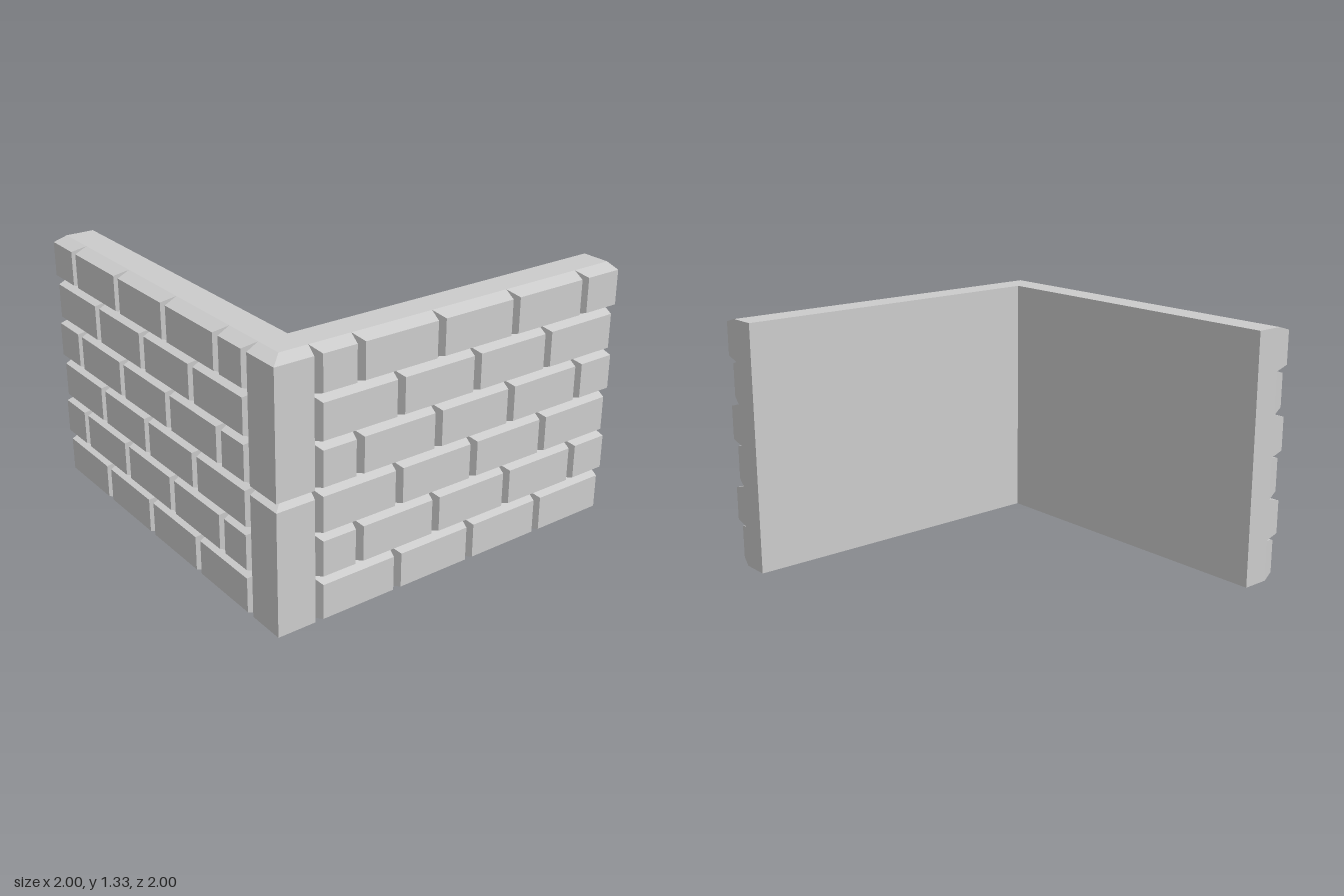
import * as THREE from 'three';
import { ConvexGeometry } from 'three/addons/geometries/ConvexGeometry.js';

const U = 2 / 9;          // brick course height and wall thickness
const H = 6 * U;          // wall height
const BEVEL = U / 10;     // how far a brick face is inset from its joint
const FACE = 1;           // outer brick face
const BASE = 1 - U / 3;   // bottom of the joints
const INNER = 1 - U;      // inner wall surface

const material = new THREE.MeshStandardMaterial({ color: 0xcccccc, flatShading: true });

function addMesh(parent, name, geometry) {
  const mesh = new THREE.Mesh(geometry, material);
  mesh.name = name;
  parent.add(mesh);
}

// L-shaped wall behind the bricks
function coreGeometry() {
  const outline = [[-BASE, -1], [-INNER, -1], [-INNER, INNER], [1, INNER], [1, BASE], [-BASE, BASE]];
  const shape = new THREE.Shape(outline.map(([x, z]) => new THREE.Vector2(x, z)));
  const geometry = new THREE.ExtrudeGeometry(shape, { depth: H, bevelEnabled: false });
  return geometry.rotateX(Math.PI / 2).translate(0, H, 0);
}

// Bevelled brick between x0 and x1; the free wall end is cut flush for half bricks
function brickGeometry(x0, x1, y0, flushEnd, place) {
  const points = [];
  for (const [z, inset] of [[BASE, 0], [FACE, BEVEL]]) {
    for (const x of [x0 + inset, flushEnd ? x1 : x1 - inset]) {
      for (const y of [y0 + inset, y0 + U - inset]) points.push(place(x, y, z));
    }
  }
  return new ConvexGeometry(points);
}

// Corner block, three courses tall, wrapping both outer faces
function cornerGeometry(y0) {
  const points = [];
  for (const [r, inset] of [[BASE, 0], [FACE, BEVEL]]) {
    const side = INNER + inset;
    for (const y of [y0 + inset, y0 + 3 * U - inset]) {
      for (const [x, z] of [[-r, r], [-side, r], [-r, side]]) points.push(new THREE.Vector3(x, y, z));
    }
  }
  return new ConvexGeometry(points);
}

export function createModel() {
  const model = new THREE.Group();
  model.name = 'cornerWall';
  addMesh(model, 'wallCore', coreGeometry());
  for (const i of [0, 1]) addMesh(model, 'cornerBlock', cornerGeometry(i * 3 * U));

  // Bricks of the front wall, then mirrored across the corner for the side wall
  const walls = [
    ['frontBricks', (x, y, z) => new THREE.Vector3(x, y, z)],
    ['sideBricks', (x, y, z) => new THREE.Vector3(-z, y, -x)],
  ];
  for (const [name, place] of walls) {
    const group = new THREE.Group();
    group.name = name;
    model.add(group);
    for (let row = 0; row < 6; row++) {
      // Joints in brick heights from the corner block: odd courses start and end on half bricks
      const joints = row % 2 ? [0, 1, 3, 5, 7, 8] : [0, 2, 4, 6, 8];
      for (let i = 0; i < joints.length - 1; i++) {
        const flushEnd = row % 2 === 1 && joints[i + 1] === 8;
        const x0 = -INNER + joints[i] * U, x1 = -INNER + joints[i + 1] * U;
        addMesh(group, 'brick', brickGeometry(x0, x1, row * U, flushEnd, place));
      }
    }
  }
  return model;
}
